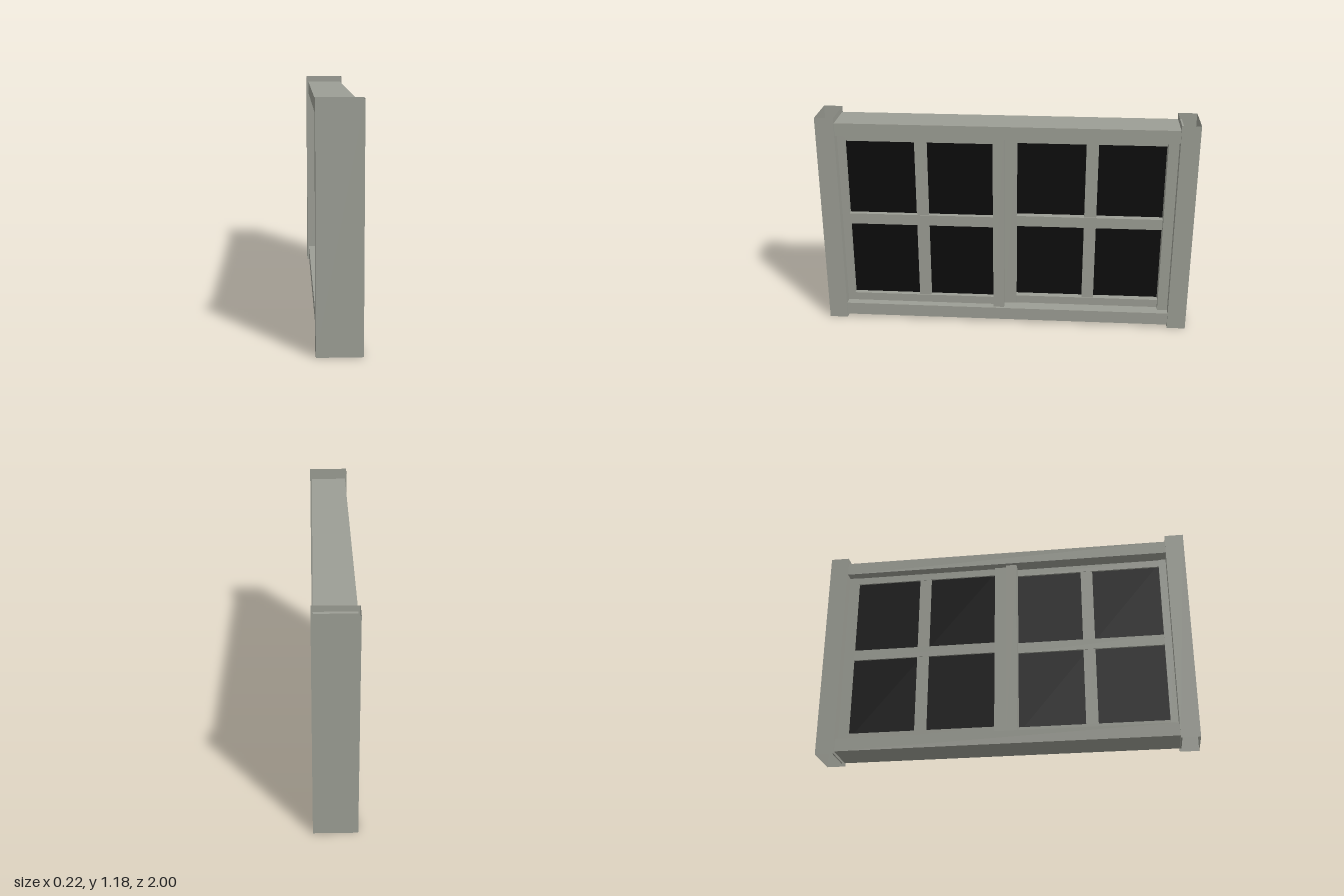
import * as THREE from 'three';

const frameMat = new THREE.MeshStandardMaterial({ color: 0x9c9e95, side: THREE.DoubleSide });
frameMat.name = 'grey frame';
const glassMat = new THREE.MeshStandardMaterial({ color: 0x0c0c0c });
glassMat.name = 'black glass';

// Box given by its limits along x, y and z
function box(parent, name, [x0, x1], [y0, y1], [z0, z1], mat = frameMat) {
  const mesh = new THREE.Mesh(new THREE.BoxGeometry(x1 - x0, y1 - y0, z1 - z0), mat);
  mesh.position.set((x0 + x1) / 2, (y0 + y1) / 2, (z0 + z1) / 2);
  mesh.name = name;
  parent.add(mesh);
}

// Hollow sheet post, open at top and bottom
function hollowPost(parent, name, z) {
  const h = 1.18, geo = new THREE.BoxGeometry(0.22, h, 0.1);
  // Box face order is +x, -x, +y, -y, +z, -z: drop the two y faces
  const index = Array.from(geo.index.array);
  geo.setIndex([...index.slice(0, 12), ...index.slice(24)]);
  geo.clearGroups();
  const mesh = new THREE.Mesh(geo, frameMat);
  mesh.position.set(0, h / 2, z);
  mesh.name = name;
  parent.add(mesh);
}

// Sash: rails, glazing bars and glass between z limits
function sash(name, barX, glassX, zSpan, barZ) {
  const g = new THREE.Group();
  g.name = name;
  box(g, 'bottomSashRail', barX, [0.08, 0.13], zSpan);
  box(g, 'topSashRail', barX, [1.04, 1.085], zSpan);
  box(g, 'horizontalBar', barX, [0.56, 0.62], zSpan);
  const inset = [barX[0] + 0.002, barX[1] - 0.006];
  for (const y of [[0.13, 0.56], [0.62, 1.04]]) box(g, 'verticalBar', inset, y, barZ);
  box(g, 'glass', glassX, [0.1, 1.06], zSpan, glassMat);
  return g;
}

export function createModel() {
  const model = new THREE.Group();
  model.name = 'window';

  // Outer frame
  hollowPost(model, 'frontPost', 0.95);
  hollowPost(model, 'backPost', -0.95);
  box(model, 'bottomRail', [-0.1, 0.1], [0.015, 0.085], [-0.92, 0.91]);
  box(model, 'topRail', [-0.1, 0.1], [1.08, 1.15], [-0.92, 0.91]);

  // Upright stiles at the ends and the overlapping pair in the middle
  const stileY = [0.083, 1.082];
  box(model, 'frontStile', [-0.025, 0.055], stileY, [0.86, 0.955]);
  box(model, 'backStile', [-0.05, 0.06], stileY, [-0.92, -0.845]);
  box(model, 'frontMeetingStile', [-0.08, 0.087], stileY, [0.01, 0.07]);
  box(model, 'backMeetingStile', [-0.058, 0.034], stileY, [-0.055, 0.01]);

  // Two sashes in neighbouring tracks
  model.add(sash('frontSash', [-0.02, 0.056], [-0.01, 0.028], [0.07, 0.86], [0.425, 0.49]));
  model.add(sash('backSash', [-0.047, 0.029], [-0.038, -0.008], [-0.845, -0.055], [-0.487, -0.422]));
  return model;
}
